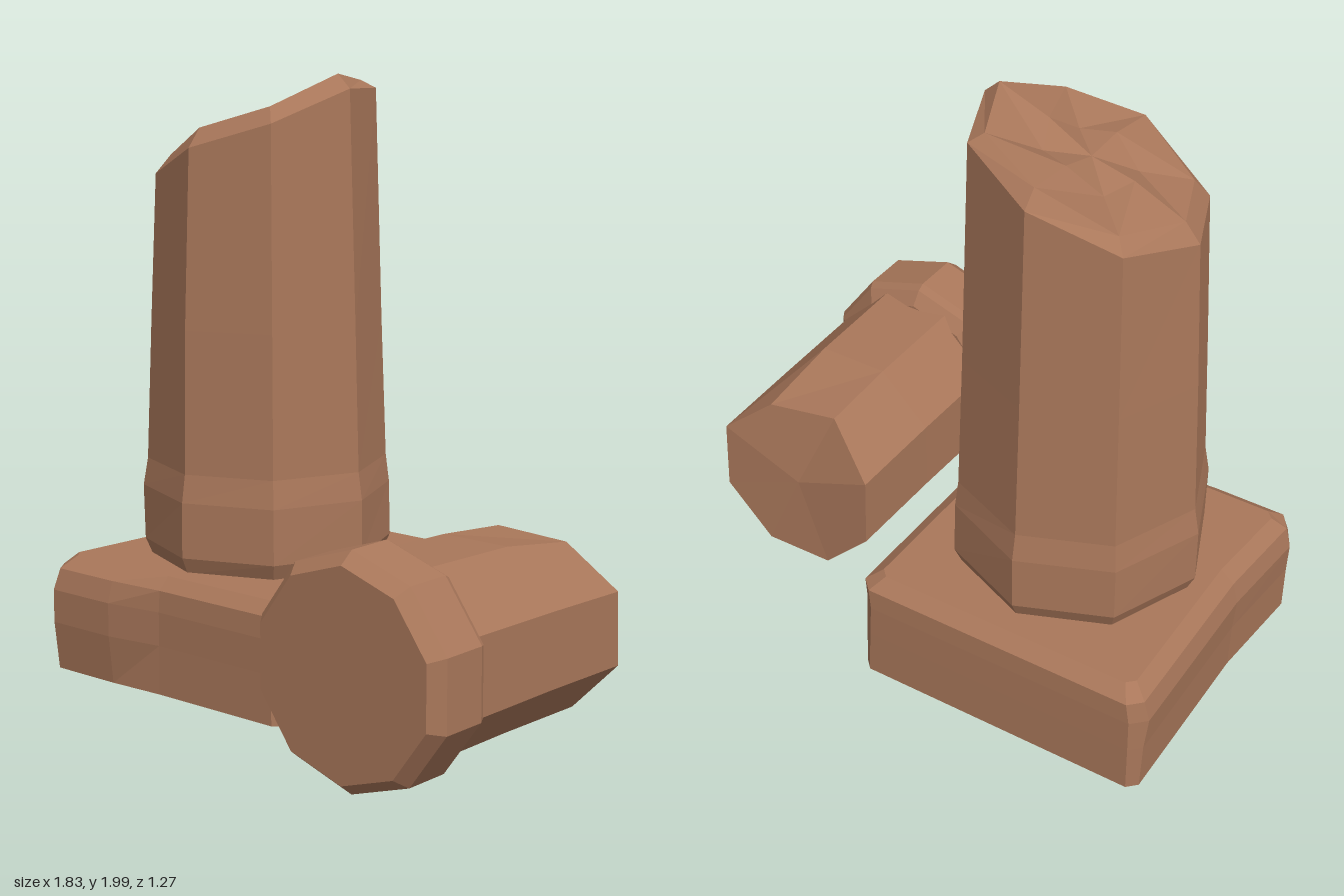
import * as THREE from 'three';

// Skin closed loops of points (counter-clockwise about the stacking axis) and cap both ends
function loft(rings, endCentre) {
  const n = rings[0].length;
  const pos = [], index = [];
  rings.forEach(r => r.forEach(p => pos.push(...p)));
  for (let k = 0; k < rings.length - 1; k++) {
    for (let i = 0; i < n; i++) {
      const j = (i + 1) % n;
      const a = k * n + i, b = k * n + j, c = b + n, d = a + n;
      index.push(a, b, c, a, c, d);
    }
  }
  const mean = r => [0, 1, 2].map(k => r.reduce((s, p) => s + p[k], 0) / n);
  const last = rings.length - 1, c0 = rings.length * n, c1 = c0 + 1;
  pos.push(...mean(rings[0]), ...(endCentre || mean(rings[last])));
  for (let i = 0; i < n; i++) {
    const j = (i + 1) % n;
    index.push(c0, j, i, c1, last * n + i, last * n + j);
  }
  const g = new THREE.BufferGeometry();
  g.setAttribute('position', new THREE.Float32BufferAttribute(pos, 3));
  g.setIndex(index);
  const flat = g.toNonIndexed();
  flat.computeVertexNormals();
  return flat;
}

// Small seeded wear for the carved edges
let seed = 7;
const wear = amount => {
  seed = (seed * 16807) % 2147483647;
  return (seed / 2147483647 - 0.5) * 2 * amount;
};

export function createModel() {
  const group = new THREE.Group();
  const stone = new THREE.MeshStandardMaterial({ color: 0xa9775a, flatShading: true });
  stone.name = 'terracotta stone';
  const add = (name, geometry) => {
    const m = new THREE.Mesh(geometry, stone);
    m.name = name;
    group.add(m);
  };

  // Square plinth with chipped corners: [y, xMin, xMax, zBack, zFront, corner cut, front-left bulge]
  const plinth = [
    [0.04, -0.905, 0.093, -0.635, 0.372, 0.03, 0.01],
    [0.2, -0.912, 0.09, -0.637, 0.37, 0.035, 0.03],
    [0.31, -0.922, 0.093, -0.637, 0.37, 0.045, 0.03],
    [0.38, -0.905, 0.096, -0.635, 0.365, 0.04, 0.015],
    [0.42, -0.86, 0.045, -0.59, 0.325, 0.025, 0],
  ].map(([y, x0, x1, z0, z1, c, bulge]) => [
    [x1, y, z1 - c], [x1, y, z0 + c], [x1 - c, y, z0], [x0 + c, y, z0],
    [x0, y, z0 + c], [x0 + 0.02, y, 0], [x0, y, z1 - c],
    [x0 + c, y, z1 + bulge], [-0.62, y, z1 + bulge], [-0.42, y, z1], [x1 - c, y, z1],
  ]);
  add('plinth', loft(plinth));

  // Standing octagonal shaft with flared foot
  const cx = -0.407, cz = -0.13;
  const octagon = (r, height, amount = 0) => Array.from({ length: 8 }, (_, i) => {
    const a = i * Math.PI / 4, rr = r + wear(amount);
    return [cx + rr * Math.cos(a), height(i), cz - rr * Math.sin(a)];
  });
  // Broken rim heights, starting at +x and turning through the back
  const rim = [1.95, 1.94, 1.86, 1.74, 1.68, 1.67, 1.77, 1.85];
  const inner = [1.995, 1.965, 1.91, 1.78, 1.74, 1.73, 1.83, 1.9];
  const column = [
    octagon(0.38, () => 0.415),
    octagon(0.405, () => 0.47, 0.003),
    octagon(0.405, () => 0.65, 0.004),
    octagon(0.389, () => 0.74, 0.004),
    octagon(0.376, () => 1.2, 0.004),
    octagon(0.354, i => rim[i]),
    octagon(0.305, i => inner[i]),
    octagon(0.14, i => 0.45 * inner[i] + 0.55 * 1.85 + (i % 2 ? -0.015 : 0.015)),
  ];
  add('standingColumn', loft(column, [cx, 1.85, cz]));

  // Fallen shaft lying along z, flats facing up and sideways
  const breakZ = [-0.31, -0.27, -0.24, -0.31, -0.318, -0.315, -0.318, -0.318];
  const lying = (r, x, y, z) => Array.from({ length: 8 }, (_, i) => {
    const a = (i + 0.5) * Math.PI / 4;
    return [x + r * Math.cos(a), y + r * Math.sin(a), z(i)];
  });
  const fallen = [
    lying(0.306, 0.577, 0.35, i => breakZ[i]),
    lying(0.31, 0.575, 0.358, () => 0.03),
    lying(0.316, 0.572, 0.362, () => 0.4),
  ];
  // Chip the upper edge of the broken end
  fallen[0][1][1] -= 0.03;
  fallen[0][2][1] -= 0.01;
  add('fallenShaft', loft(fallen));

  // Ten-sided end drum of the fallen column
  const drum = [[0.3, 0.37], [0.345, 0.405], [0.359, 0.43], [0.359, 0.585], [0.322, 0.632]]
    .map(([r, z]) => Array.from({ length: 10 }, (_, i) => {
      const a = Math.PI / 2 + i * Math.PI / 5;
      return [0.565 + r * Math.cos(a), 0.362 + r * Math.sin(a), z];
    }));
  add('fallenDrum', loft(drum));

  return group;
}
